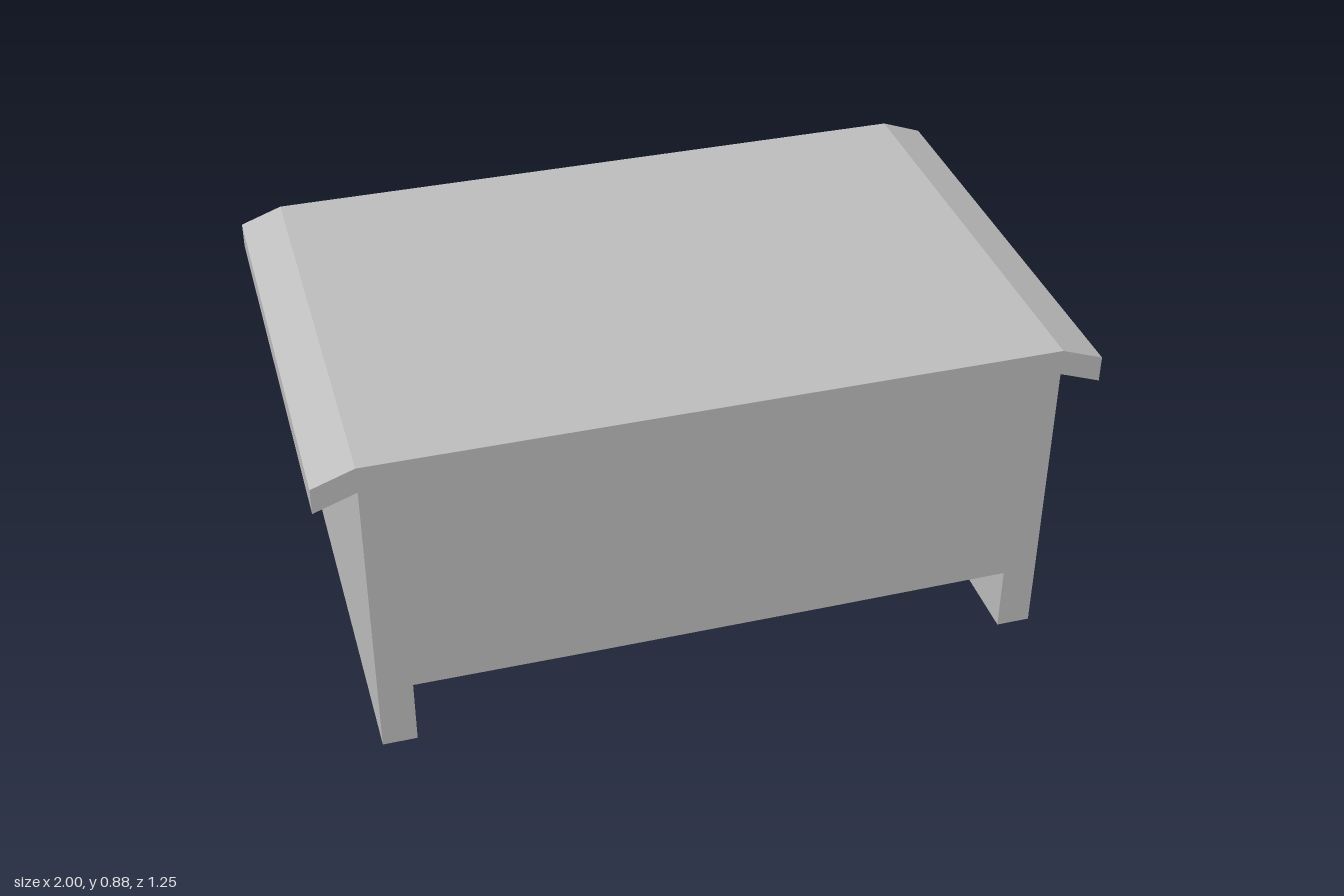
import * as THREE from 'three';

const DEPTH = 1.25;      // overall z size
const BACK = -0.54;      // rim of the drawer fronts
const INNER = 0.54;      // inner face of the front panel

// Extrudes an outline in x, y from z0 along +z
function slab(points, z0, depth) {
  const shape = new THREE.Shape(points.map(([x, y]) => new THREE.Vector2(x, y)));
  const geometry = new THREE.ExtrudeGeometry(shape, { depth, bevelEnabled: false });
  return geometry.translate(0, 0, z0);
}

// Box whose back face is a panel sunk inside a bevelled rim
function drawerGeometry(x0, x1, y0, y1) {
  const ring = (z, bx, by) => [
    [x0 + bx, y0 + by, z], [x1 - bx, y0 + by, z],
    [x1 - bx, y1 - by, z], [x0 + bx, y1 - by, z],
  ];
  const rings = [ring(INNER, 0, 0), ring(BACK, 0, 0), ring(BACK + 0.035, 0.015, 0.035)];
  const pos = [];
  const quad = (a, b, c, d) => pos.push(...a, ...b, ...c, ...a, ...c, ...d);
  for (let r = 0; r < 2; r++) {
    for (let i = 0; i < 4; i++) {
      const j = (i + 1) % 4;
      quad(rings[r][i], rings[r + 1][i], rings[r + 1][j], rings[r][j]);
    }
  }
  const [a, b, c, d] = rings[2];
  quad(d, c, b, a);
  const geometry = new THREE.BufferGeometry();
  geometry.setAttribute('position', new THREE.Float32BufferAttribute(pos, 3));
  geometry.computeVertexNormals();
  return geometry;
}

export function createModel() {
  const desk = new THREE.Group();
  desk.name = 'desk';
  const grey = new THREE.MeshStandardMaterial({ color: 0xc0c0c0 });
  grey.name = 'grey';

  const add = (name, geometry) => {
    const mesh = new THREE.Mesh(geometry, grey);
    mesh.name = name;
    desk.add(mesh);
  };

  // Desktop with drooping ends
  add('desktop', slab([
    [-1, 0.77], [-0.89, 0.81], [0.89, 0.81], [1, 0.77],
    [1, 0.84], [0.89, 0.88], [-0.89, 0.88], [-1, 0.84],
  ], -DEPTH / 2, DEPTH));

  // Solid end panels
  for (const [name, s] of [['leftEndPanel', 1], ['rightEndPanel', -1]]) {
    add(name, new THREE.BoxGeometry(0.09, 0.81, DEPTH).translate(s * 0.845, 0.405, 0));
  }

  // Front panel, slightly deeper in the middle
  add('frontPanel', slab([
    [-0.8, 0.182], [-0.32, 0.18], [0.32, 0.18], [0.8, 0.182], [0.8, 0.81], [-0.8, 0.81],
  ], INNER, DEPTH / 2 - INNER));

  // Two drawers hung under the top, facing the back
  for (let i = 0; i < 2; i++) {
    const y = 0.306 + i * 0.252;
    add(i ? 'upperDrawer' : 'lowerDrawer', drawerGeometry(0.31, 0.8, y, y + 0.252));
  }
  return desk;
}
